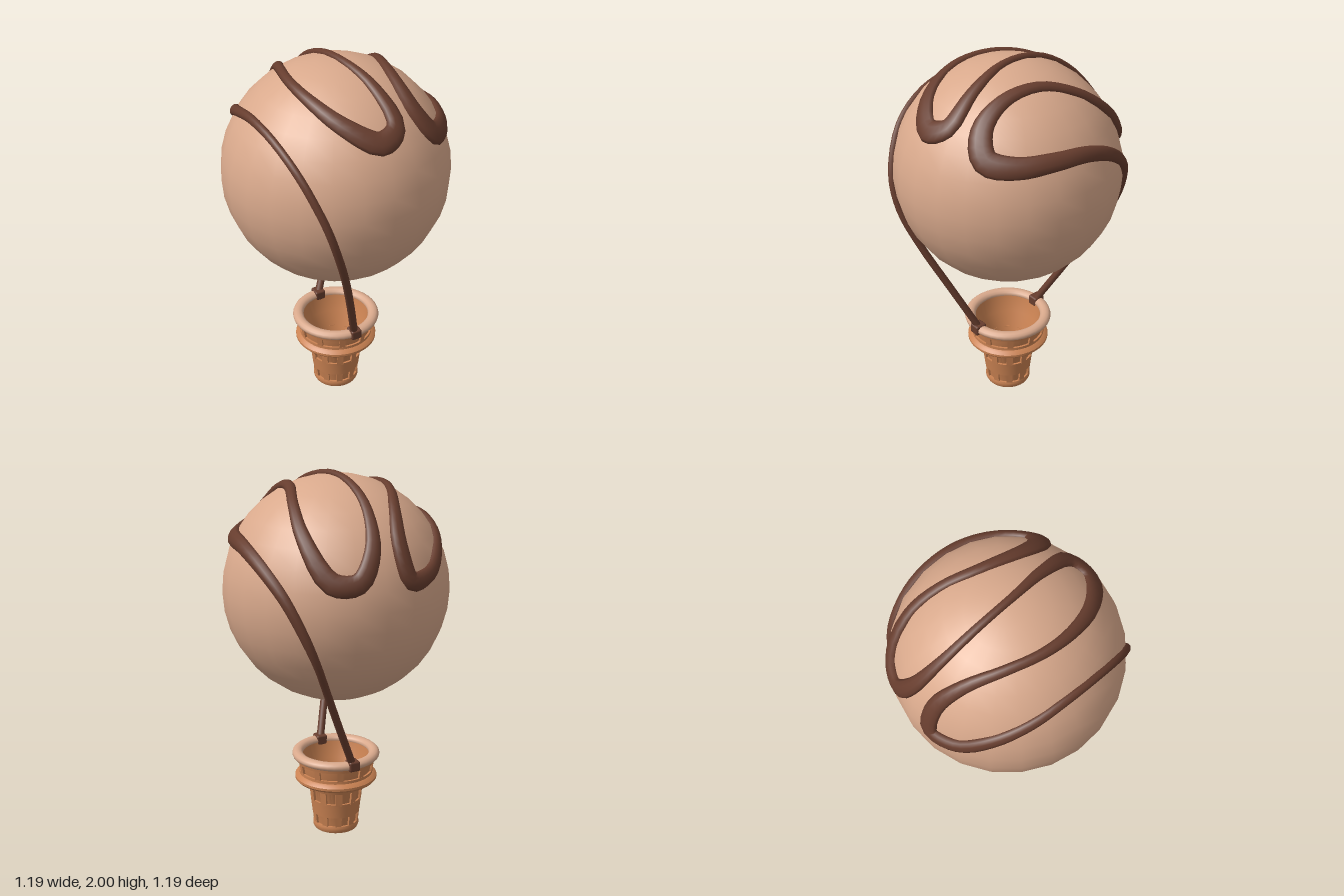
import * as THREE from 'three';
import { toCreasedNormals } from 'three/addons/utils/BufferGeometryUtils.js';
import { RoundedBoxGeometry } from 'three/addons/geometries/RoundedBoxGeometry.js';

const R = 0.597;
const CENTER = new THREE.Vector3(0, 1.38, 0);

function material(name, color) {
  const m = new THREE.MeshStandardMaterial({ color });
  m.name = name;
  return m;
}

function mesh(name, geometry, mat, parent) {
  const m = new THREE.Mesh(geometry, mat);
  m.name = name;
  parent.add(m);
  return m;
}

// Turned shape with crisp corners; profile runs counter-clockwise from the bottom
function turned(profile, segments = 40) {
  const g = new THREE.LatheGeometry(profile.map(([r, y]) => new THREE.Vector2(r, y)), segments);
  return toCreasedNormals(g, 0.7);
}

// Point on top of the ball, with the half width of the sauce there
function onBall(x, z, w) {
  return [x, CENTER.y + Math.sqrt(Math.max(0, R * R - x * x - z * z)), z, w];
}

// Flattened tube that hugs the ball and varies in width
function sauceGeometry(stations, steps, sides) {
  const path = new THREE.CatmullRomCurve3(stations.map(([x, y, z]) => new THREE.Vector3(x, y, z)));
  const width = new THREE.CatmullRomCurve3(stations.map((s, i) => new THREE.Vector3(s[3], i, 0)));
  const positions = [], index = [];
  for (let i = 0; i <= steps; i++) {
    const t = i / steps;
    const p = path.getPoint(t);
    const w = width.getPoint(t).x;
    const h = Math.min(0.027, 0.013 + w * 0.32);
    const tangent = path.getTangent(t);
    const radial = p.clone().sub(CENTER);
    if (radial.length() < R) {
      radial.setLength(R);
      p.copy(CENTER).add(radial);
    }
    const side = radial.cross(tangent).normalize();
    const up = tangent.clone().cross(side).normalize();
    for (let j = 0; j < sides; j++) {
      const a = (j / sides) * Math.PI * 2;
      const q = p.clone().addScaledVector(side, Math.cos(a) * w).addScaledVector(up, Math.sin(a) * h);
      positions.push(q.x, q.y, q.z);
      if (i < steps) {
        const k = (j + 1) % sides, b = i * sides, c = b + sides;
        index.push(b + j, b + k, c + j, b + k, c + k, c + j);
      }
    }
  }
  const g = new THREE.BufferGeometry();
  g.setAttribute('position', new THREE.Float32BufferAttribute(positions, 3));
  g.setIndex(index);
  g.computeVertexNormals();
  return g;
}

// Ring of upright ribs leaning with the wall, from (r0, y0) to (r1, y1)
function ribs(name, count, r0, y0, r1, y1, width, mat, parent) {
  const group = new THREE.Group();
  group.name = name;
  const lean = Math.atan2(r1 - r0, y1 - y0);
  const g = new THREE.BoxGeometry(width, Math.hypot(r1 - r0, y1 - y0) + 0.01, 0.024);
  g.translate(0, 0, -0.013);
  g.rotateX(lean);
  g.translate(0, (y0 + y1) / 2, (r0 + r1) / 2);
  for (let i = 0; i < count; i++) {
    mesh('rib', g, mat, group).rotation.y = ((i + 0.5) / count) * Math.PI * 2;
  }
  parent.add(group);
}

export function createModel() {
  const model = new THREE.Group();
  model.name = 'iceCreamBalloon';
  const cream = material('cream', 0xd9a98c);
  const chocolate = material('chocolate', 0x673d2e);
  const wafer = material('wafer', 0xca8252);

  // Balloon scoop
  mesh('scoop', new THREE.SphereGeometry(R, 24, 18), cream, model).position.copy(CENTER);

  // One chocolate strand: front rope, zigzag over the scoop, back rope
  const strand = [
    [0, 0.45, 0.21, 0.021], [-0.09, 0.72, 0.33, 0.021], [-0.19, 1.0, 0.45, 0.021],
    [-0.265, 1.2, 0.51, 0.021], [-0.325, 1.38, 0.505, 0.021], [-0.4, 1.6, 0.39, 0.021],
    onBall(-0.445, 0.2, 0.021), onBall(-0.462, 0, 0.023), onBall(-0.45, -0.2, 0.027),
    onBall(-0.385, -0.38, 0.034), onBall(-0.27, -0.51, 0.042), onBall(-0.14, -0.563, 0.05),
    onBall(-0.105, -0.5, 0.045), onBall(-0.15, -0.36, 0.033), onBall(-0.22, -0.18, 0.026),
    onBall(-0.26, 0, 0.026), onBall(-0.25, 0.18, 0.032), onBall(-0.17, 0.37, 0.046),
    onBall(-0.02, 0.48, 0.06), onBall(0.085, 0.44, 0.052), onBall(0.07, 0.27, 0.034),
    onBall(0.025, 0.05, 0.022), onBall(0.005, -0.18, 0.022), onBall(0.008, -0.38, 0.028),
    onBall(0.05, -0.52, 0.042), onBall(0.14, -0.56, 0.052), onBall(0.26, -0.515, 0.055),
    onBall(0.335, -0.35, 0.038), onBall(0.31, -0.17, 0.028), onBall(0.25, 0.02, 0.03),
    onBall(0.22, 0.22, 0.04), onBall(0.24, 0.36, 0.056), onBall(0.32, 0.405, 0.064),
    onBall(0.43, 0.31, 0.055), onBall(0.51, 0.13, 0.046), onBall(0.53, -0.05, 0.04),
    onBall(0.51, -0.24, 0.036), [0.45, 1.44, -0.39, 0.031], [0.37, 1.25, -0.455, 0.026],
    [0.305, 1.1, -0.452, 0.021], [0.25, 0.98, -0.41, 0.021], [0.13, 0.72, -0.315, 0.021],
    [0, 0.45, -0.21, 0.021],
  ];
  mesh('sauceStrand', sauceGeometry(strand, 168, 10), chocolate, model);

  // Hollow wafer basket
  const basket = new THREE.Group();
  basket.name = 'waferBasket';
  model.add(basket);
  mesh('wall', turned([
    [0, 0.004], [0.105, 0.004], [0.11, 0.02], [0.113, 0.04], [0.138, 0.26], [0.18, 0.3], [0.19, 0.34],
    [0.204, 0.42], [0.205, 0.445], [0.185, 0.445], [0.165, 0.34], [0.12, 0.25], [0.1, 0.05], [0, 0.05],
  ]), wafer, basket);
  mesh('foot', turned([
    [0, 0], [0.105, 0], [0.12, 0.006], [0.127, 0.02], [0.127, 0.035], [0.124, 0.045], [0.11, 0.045],
  ]), wafer, basket);
  mesh('middleBand', turned([[0.11, 0.1], [0.131, 0.1], [0.141, 0.185], [0.12, 0.185]]), wafer, basket);
  mesh('shoulder', turned([
    [0.13, 0.25], [0.149, 0.25], [0.155, 0.268], [0.18, 0.277], [0.215, 0.293], [0.226, 0.305],
    [0.226, 0.318], [0.214, 0.33], [0.203, 0.336], [0.203, 0.352], [0.185, 0.352],
  ]), wafer, basket);
  mesh('collar', turned([[0.195, 0.402], [0.213, 0.402], [0.218, 0.425], [0.2, 0.43]]), wafer, basket);
  ribs('lowerRibs', 10, 0.124, 0.04, 0.131, 0.105, 0.034, wafer, basket);
  ribs('upperRibs', 10, 0.141, 0.18, 0.149, 0.255, 0.036, wafer, basket);
  ribs('collarRibs', 10, 0.203, 0.348, 0.213, 0.406, 0.032, wafer, basket);

  // Creamy rim
  const rim = mesh('rim', new THREE.TorusGeometry(0.211, 0.03, 12, 40), cream, basket);
  rim.rotation.x = Math.PI / 2;
  rim.scale.z = 0.8;
  rim.position.y = 0.444;

  // Chocolate clasps tying the ropes to the rim
  for (const s of [1, -1]) {
    const clasp = mesh('clasp', new RoundedBoxGeometry(0.062, 0.056, 0.068, 2, 0.01), chocolate, model);
    clasp.position.set(0, 0.446, s * 0.212);
  }
  return model;
}
